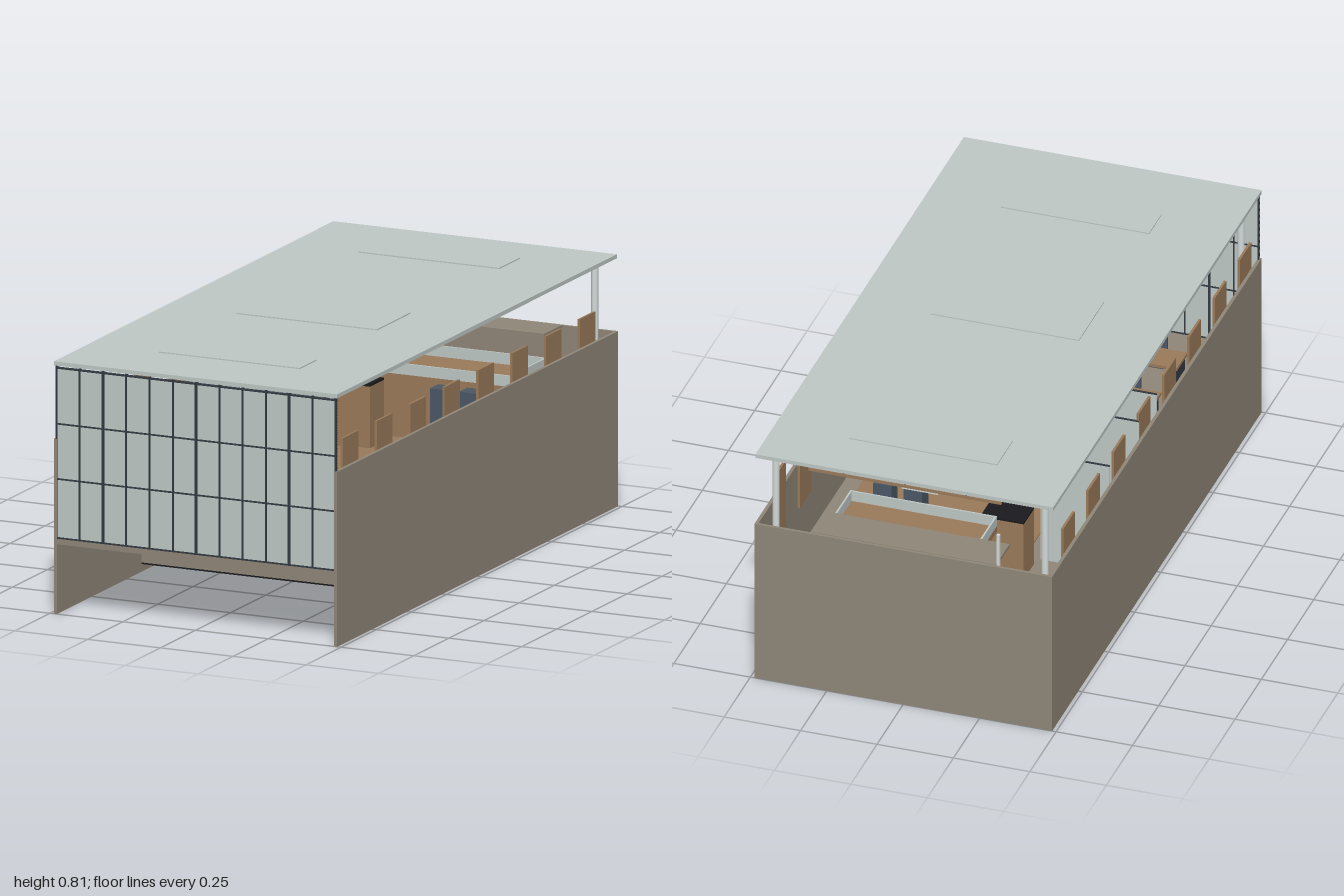
import * as THREE from 'three';

const mat = (name, color) => {
  const m = new THREE.MeshStandardMaterial({ color });
  m.name = name;
  return m;
};

export function createModel() {
  const g = new THREE.Group();
  g.name = 'pavilion';
  const stone = mat('stone', 0x8f8678);
  const pale = mat('pale grey', 0xbfc8c6);
  const white = mat('column white', 0xd3dad9);
  const wood = mat('wood', 0x9a7a5a);
  const frame = mat('frame', 0x343a42);
  const slate = mat('slate', 0x4c5866);
  const black = mat('black', 0x1b1b1f);

  // box from its limits on each axis
  const box = (name, m, x0, x1, y0, y1, z0, z1, parent = g) => {
    const b = new THREE.Mesh(new THREE.BoxGeometry(x1 - x0, y1 - y0, z1 - z0), m);
    b.position.set((x0 + x1) / 2, (y0 + y1) / 2, (z0 + z1) / 2);
    b.name = name;
    parent.add(b);
    return b;
  };
  const group = (name) => {
    const n = new THREE.Group();
    n.name = name;
    g.add(n);
    return n;
  };

  // outer walls, floor slab and lower core
  for (const s of [-1, 1]) {
    const x = s * 0.4815;
    box('sideWall', stone, x - 0.0055, x + 0.0055, 0, 0.558, -0.99, 1);
  }
  box('backWall', stone, -0.487, 0.487, 0, 0.558, -1, -0.99);
  box('floorSlab', stone, -0.476, 0.476, 0.222, 0.24, -0.99, 0.998);
  box('lowerCore', stone, -0.476, 0.476, 0.03, 0.222, -0.14, 0.4);
  box('coreUnderside', black, -0.476, 0.476, 0.025, 0.03, -0.14, 0.4);
  box('stairSoffit', pale, -0.476, -0.31, 0.218, 0.222, -0.45, -0.14);
  box('woodFloor', wood, -0.2, 0.42, 0.24, 0.244, -0.82, -0.1);

  // roof with three low skylights
  box('roof', pale, -0.487, 0.487, 0.792, 0.805, -0.99, 1);
  for (const [z0, z1] of [[0.64, 0.76], [-0.03, 0.21], [-0.81, -0.66]])
    box('skylight', pale, -0.242, 0.242, 0.805, 0.809, z0, z1);

  // ceiling slats
  const slats = group('ceilingSlats');
  for (let z = -0.985; z < 0.93; z += 0.0213)
    box('slat', wood, -0.315, 0.315, 0.777, 0.787, z, z + 0.007, slats);
  for (const x of [-0.2, 0, 0.2])
    box('slatRail', frame, x - 0.003, x + 0.003, 0.787, 0.792, -0.985, 0.93, slats);

  // corner columns
  for (const x of [-0.44, 0.44])
    for (const z of [-0.93, 0.94]) {
      const c = new THREE.Mesh(new THREE.CylinderGeometry(0.011, 0.011, 0.552, 16), white);
      c.position.set(x, 0.516, z);
      c.name = 'column';
      g.add(c);
    }

  // glazed front
  const front = group('frontGlazing');
  box('glass', pale, -0.482, 0.482, 0.24, 0.786, 0.989, 0.993, front);
  for (let i = -6; i <= 6; i++) {
    const w = i % 4 === 0 ? 0.0035 : 0.002;
    box('mullion', frame, i * 0.08 - w, i * 0.08 + w, 0.24, 0.792, 0.986, 0.999, front);
  }
  for (const y of [0.242, 0.43, 0.606, 0.784])
    box('transom', frame, -0.482, 0.482, y - 0.0022, y + 0.0022, 0.986, 0.998, front);

  // upright wooden panels along both side walls
  for (const s of [-1, 1])
    for (let i = 0; i < 8; i++) {
      const z = 0.881 - i * 0.241;
      box('sidePanel', wood, s * 0.472 - 0.004, s * 0.472 + 0.004, 0.4, 0.65, z - 0.055, z + 0.055);
    }

  // glass room beside the stair
  const room = group('glassRoom');
  box('roomSide', pale, -0.256, -0.25, 0.24, 0.62, -0.42, 0.035, room);
  for (const z of [-0.42, -0.14, 0.03]) {
    box('roomWall', pale, -0.476, -0.25, 0.24, 0.62, z, z + 0.005, room);
    box('roomTrim', frame, -0.476, -0.25, 0.62, 0.624, z, z + 0.005, room);
  }
  box('roomTrim', frame, -0.256, -0.25, 0.62, 0.624, -0.42, 0.035, room);

  // reception counter: a ring with a pale edge
  const counter = group('counter');
  box('counterTop', wood, -0.17, 0.31, 0.43, 0.45, -0.86, -0.6, counter);
  box('counterBase', wood, -0.15, 0.29, 0.24, 0.43, -0.84, -0.62, counter);
  for (const z of [-0.86, -0.606])
    box('counterEdge', pale, -0.17, 0.31, 0.45, 0.485, z, z + 0.006, counter);
  for (const x of [-0.17, 0.304])
    box('counterEdge', pale, x, x + 0.006, 0.45, 0.485, -0.86, -0.6, counter);

  // back ledge, small post and hanging board
  box('backLedge', stone, -0.3, 0.3, 0.55, 0.56, -0.99, -0.86);
  box('backPost', white, -0.31, -0.3, 0.55, 0.665, -0.985, -0.975);
  box('hangingBoard', white, -0.06, 0.06, 0.68, 0.7, -0.842, -0.838);
  for (const x of [-0.05, 0.05])
    box('hanger', frame, x - 0.002, x + 0.002, 0.7, 0.792, -0.842, -0.838);

  // storage units, and desks with chairs
  box('cabinet', wood, -0.24, -0.1, 0.24, 0.44, -0.55, -0.45);
  box('cabinetTop', black, -0.24, -0.1, 0.44, 0.447, -0.55, -0.45);
  for (const x of [0.14, 0.24])
    box('locker', slate, x - 0.03, x + 0.03, 0.24, 0.46, -0.5, -0.44);
  for (const z of [0.2, 0.45, 0.7])
    for (const x of [-0.22, 0.2]) {
      box('desk', wood, x - 0.11, x + 0.11, 0.32, 0.33, z - 0.05, z + 0.05);
      for (const d of [-0.1, 0.1])
        box('deskLeg', frame, x + d - 0.005, x + d + 0.005, 0.24, 0.32, z - 0.04, z + 0.04);
      box('chairSeat', slate, x - 0.025, x + 0.025, 0.24, 0.29, z + 0.07, z + 0.11);
      box('chairBack', slate, x - 0.025, x + 0.025, 0.29, 0.35, z + 0.102, z + 0.11);
    }
  return g;
}
